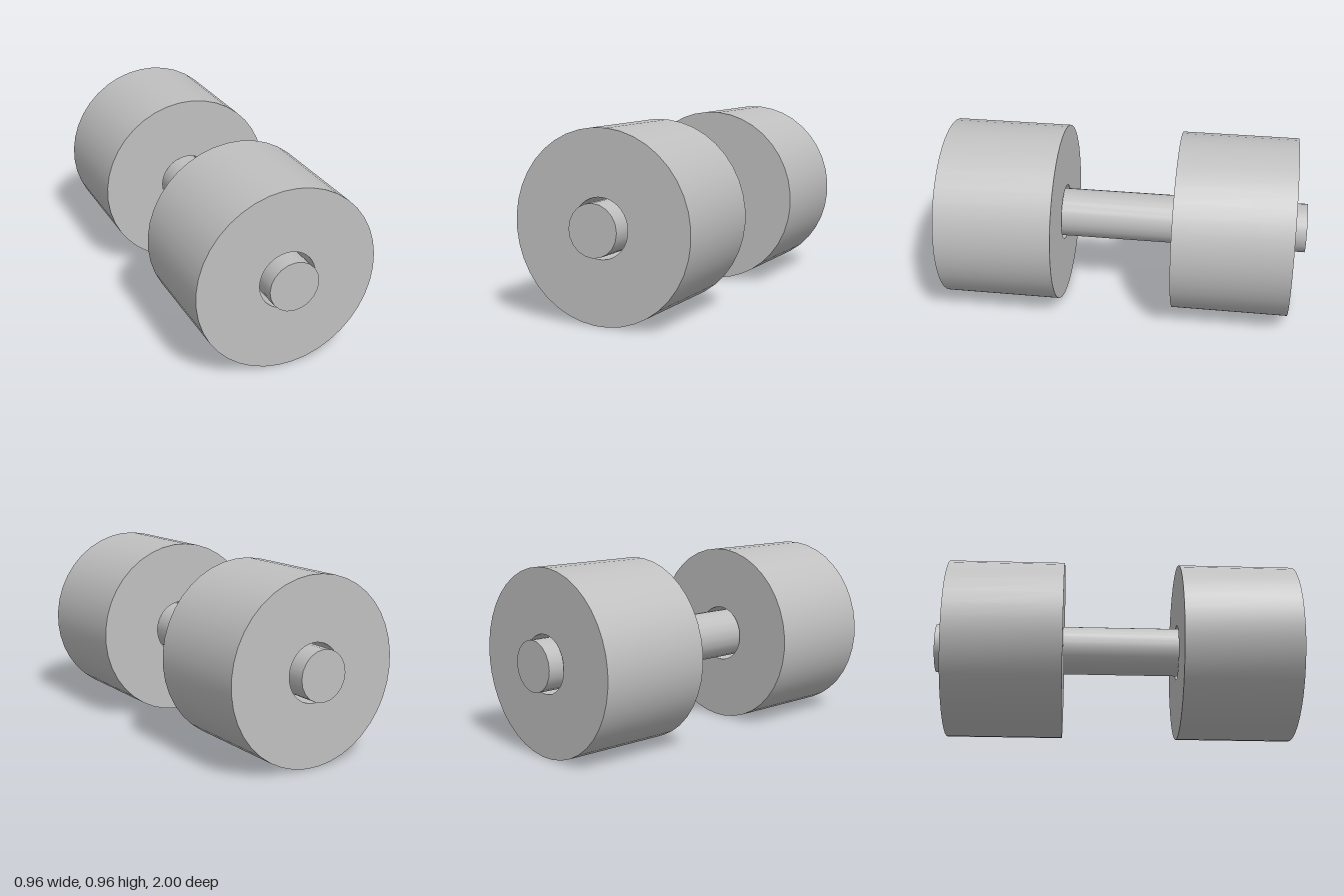
import * as THREE from 'three';
import { toCreasedNormals } from 'three/addons/utils/BufferGeometryUtils.js';

const AXIS_Y = 0.4785;

export function createModel() {
  const model = new THREE.Group();
  model.name = 'dumbbell';
  const steel = new THREE.MeshStandardMaterial({ color: 0xc0c0c0 });
  steel.name = 'grey steel';

  // Central bar running front to back
  const barGeometry = new THREE.CylinderGeometry(0.131, 0.131, 2, 20).rotateX(Math.PI / 2);
  const bar = new THREE.Mesh(barGeometry, steel);
  bar.name = 'bar';
  bar.position.y = AXIS_Y;
  model.add(bar);

  // Thick weights with a bore slightly wider than the bar
  const outer = 0.479, bore = 0.15, half = 0.309, sides = 40;
  const profile = [
    [bore, -half], [outer, -half], [outer, half], [bore, half], [bore, -half],
  ].map(([r, y]) => new THREE.Vector2(r, y));
  const ring = new THREE.LatheGeometry(profile, sides, Math.PI / sides).rotateX(Math.PI / 2);
  const weightGeometry = toCreasedNormals(ring, Math.PI / 6);

  for (const [name, side] of [['frontWeight', 1], ['backWeight', -1]]) {
    const weight = new THREE.Mesh(weightGeometry, steel);
    weight.name = name;
    weight.position.set(0, AXIS_Y, side * 0.619);
    model.add(weight);
  }
  return model;
}
